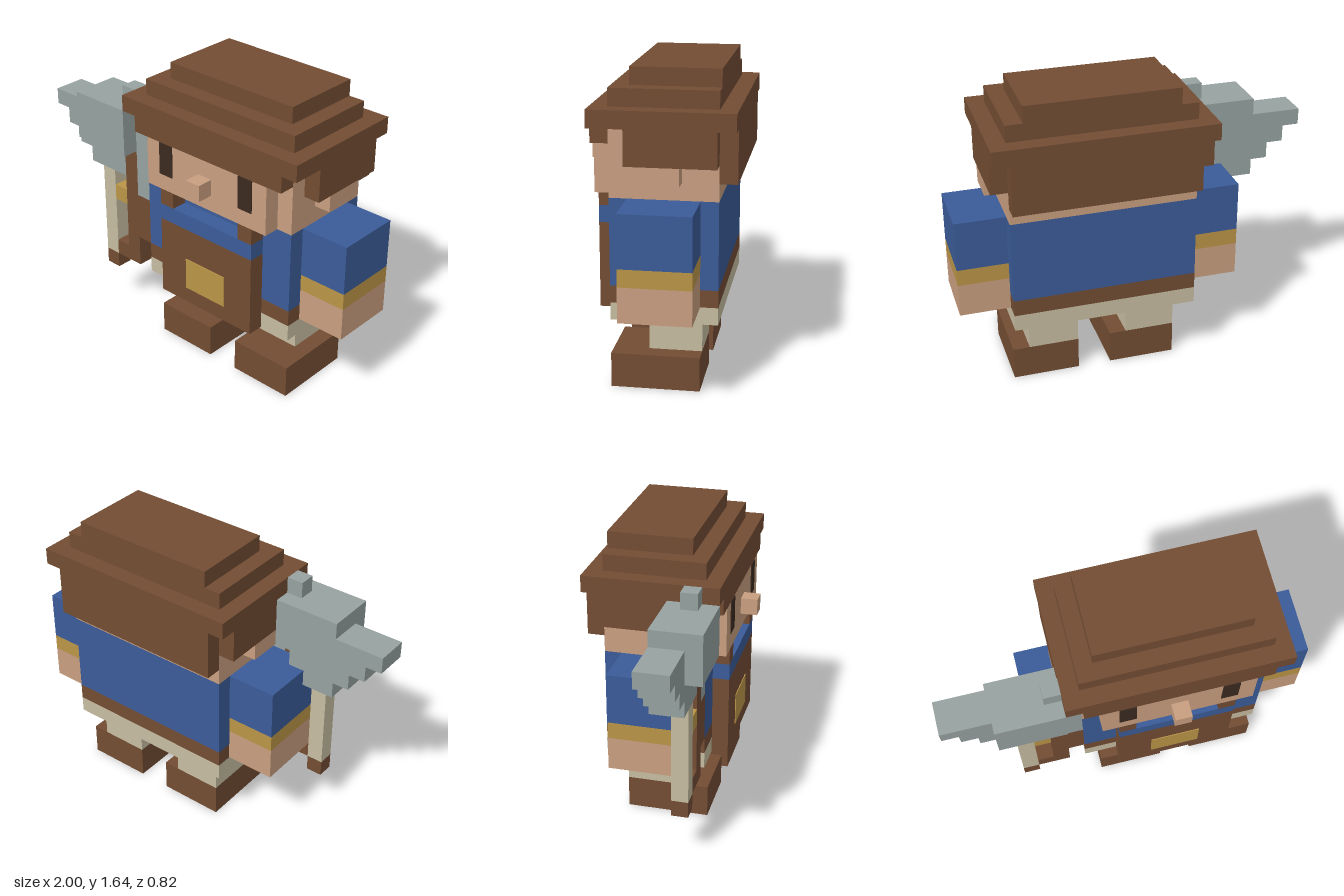
import * as THREE from 'three';

const U = 1 / 11; // one block

const mat = (name, color) => {
  const m = new THREE.MeshStandardMaterial({ color });
  m.name = name;
  return m;
};

export function createModel() {
  const brown = mat('brown', 0x734d33), skin = mat('skin', 0xc99f80), blue = mat('blue', 0x3b5c99),
    gold = mat('gold', 0xbb9547), cream = mat('cream', 0xc7bda1), steel = mat('steel', 0x96a2a1),
    dark = mat('dark', 0x3b2a20);

  const model = new THREE.Group();
  const part = (name) => {
    const g = new THREE.Group();
    g.name = name;
    model.add(g);
    return g;
  };
  // Box between two bounds on each axis, measured in blocks
  const box = (parent, name, m, [x0, x1], [y0, y1], [z0, z1]) => {
    const mesh = new THREE.Mesh(
      new THREE.BoxGeometry((x1 - x0) * U, (y1 - y0) * U, (z1 - z0) * U), m);
    mesh.position.set((x0 + x1) / 2 * U, (y0 + y1) / 2 * U, (z0 + z1) / 2 * U);
    mesh.name = name;
    parent.add(mesh);
  };

  // Legs and boots
  const legs = part('legs');
  for (const x of [-2, 4]) {
    box(legs, 'boot', brown, [x, x + 4], [0, 2], [-2.5, 2.5]);
    box(legs, 'leg', cream, [x, x + 3], [2, 4], [-2.5, 0.5]);
  }

  // Torso in stacked bands
  const torso = part('torso');
  const width = [-3, 8], depth = [-3.5, 2.5];
  box(torso, 'trousers', cream, width, [4, 5], depth);
  box(torso, 'belt', brown, width, [5, 6], depth);
  box(torso, 'shirt', blue, width, [6, 11], depth);

  // Apron with straps and pocket
  const apron = part('apron');
  const front = [2.5, 3.5], plate = [3.5, 3.55];
  box(apron, 'apronPanel', brown, [-1, 6], [4, 9], front);
  box(apron, 'apronBib', blue, [-1, 6], [9, 10], front);
  for (const x of [-1, 5]) box(apron, 'strap', brown, [x, x + 1], [10, 11], front);
  box(apron, 'pocket', gold, [1, 4], [5, 7], plate);

  // Arms: hand, cuff and sleeve
  for (const [name, x] of [['rightArm', -6], ['leftArm', 8]]) {
    const arm = part(name), xs = [x, x + 3], zs = [-2.5, 1.5];
    box(arm, 'hand', skin, xs, [5, 7], zs);
    box(arm, 'cuff', gold, xs, [7, 8], zs);
    box(arm, 'sleeve', blue, xs, [8, 11], zs);
  }

  // Head and face
  const head = part('head');
  box(head, 'skull', skin, width, [11, 15], depth);
  box(head, 'face', skin, [-2, 7], [11, 14], front);
  box(head, 'nose', skin, [2, 3], [12, 13], [3.5, 4.5]);
  for (const x of [-1, 5]) box(head, 'eye', dark, [x, x + 1], [12, 14], plate);
  for (const x of [-4, 8]) box(head, 'ear', skin, [x, x + 1], [12, 13], [-1.5, 0.5]);

  // Stepped hair
  const hair = part('hair');
  box(hair, 'hairRim', brown, [-4, 9], [15, 16], [-4.5, 3.5]);
  box(hair, 'hairMiddle', brown, width, [16, 17], depth);
  box(hair, 'hairTop', brown, [-2, 7], [17, 18], [-3.5, 1.5]);
  box(hair, 'fringe', brown, width, [14, 15], front);
  box(hair, 'backHair', brown, width, [12, 15], [-4.5, -3.5]);
  for (const x of [-4, 8]) box(hair, 'sideHair', brown, [x, x + 1], [13, 15], [-3.5, 1.5]);

  // Tool: steel head with a stepped spike, handle and second rod
  const tool = part('tool');
  const rod = [1.5, 2.5];
  box(tool, 'toolHead', steel, [-8, -4], [12, 15], [0.5, 3.5]);
  for (let i = 0; i < 3; i++)
    box(tool, 'spikeStep', steel, [-11 + i, -8], [13 - i, 14 - i], [0.5, 2.5]);
  box(tool, 'lowerHead', steel, [-8, -5], [10, 12], [0.5, 2.5]);
  box(tool, 'headCap', steel, [-5, -4], [15, 16], rod);
  box(tool, 'innerBlade', steel, [-4, -3], [9, 15], rod);
  box(tool, 'handle', brown, [-5, -4], [4, 12], rod);
  box(tool, 'handleGrip', brown, [-4, -3], [6, 9], rod);
  box(tool, 'handleFoot', brown, [-6, -5], [4, 5], rod);
  box(tool, 'crossPiece', gold, [-6, -5], [8, 9], rod);
  box(tool, 'rod', cream, [-7, -6], [4, 10], rod);
  box(tool, 'rodTip', brown, [-7, -6], [3, 4], rod);

  return model;
}
